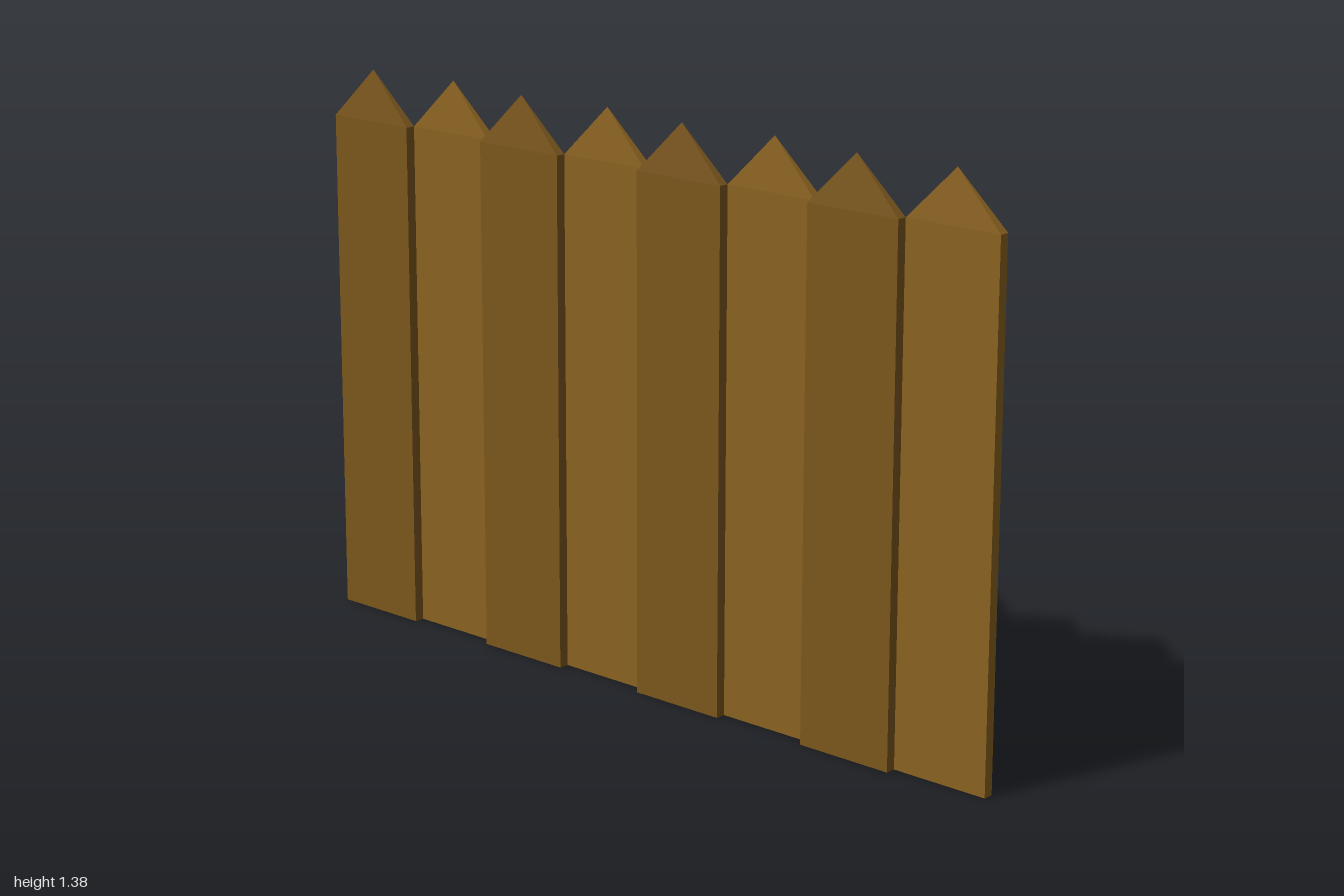
import * as THREE from 'three';
import { ConvexGeometry } from 'three/addons/geometries/ConvexGeometry.js';

const COUNT = 8;
const WIDTH = 0.25;
const THICKNESS = 0.025;
const SHOULDER = 1.25;
const TIP = 1.375;

// Upright board with a four-sided pointed top, centred on x and z
function plankGeometry() {
  const points = [new THREE.Vector3(0, TIP, 0)];
  for (const y of [0, SHOULDER])
    for (const sx of [-1, 1])
      for (const sz of [-1, 1])
        points.push(new THREE.Vector3(sx * THICKNESS / 2, y, sz * WIDTH / 2));
  return new ConvexGeometry(points);
}

export function createModel() {
  const fence = new THREE.Group();
  fence.name = 'fence';

  const geometry = plankGeometry();
  const materials = [0x8b6220, 0x7c571d].map(
    (color) => new THREE.MeshStandardMaterial({ color, flatShading: true }));

  // Planks run front to back, stepping alternately to either side
  for (let i = 0; i < COUNT; i++) {
    const plank = new THREE.Mesh(geometry, materials[i % 2]);
    plank.name = `plank${i + 1}`;
    const side = i % 2 === 0 ? 1 : -1;
    plank.position.set(side * THICKNESS / 2, 0, 1 - WIDTH * (i + 0.5));
    fence.add(plank);
  }
  return fence;
}
